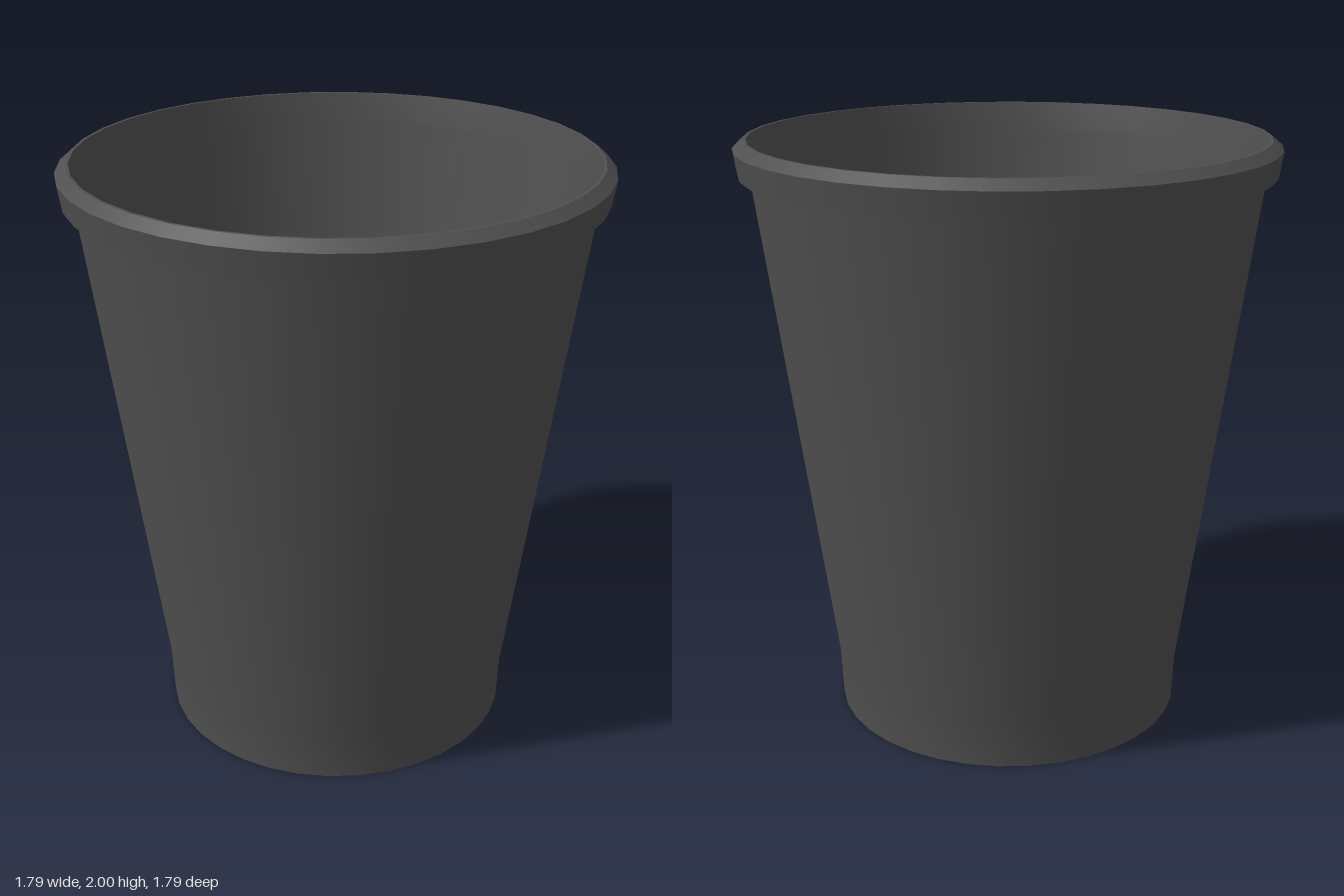
import * as THREE from 'three';

const SIDES = 36;

export function createModel() {
  const cup = new THREE.Group();
  cup.name = 'cup';

  const plastic = new THREE.MeshStandardMaterial({ color: 0x505050 });
  plastic.name = 'dark grey';

  // Revolves a profile of [radius, height] points; turned to put corners on the axes
  function revolve(name, profile) {
    const points = profile.map(([r, y]) => new THREE.Vector2(r, y));
    const mesh = new THREE.Mesh(new THREE.LatheGeometry(points, SIDES), plastic);
    mesh.name = name;
    cup.add(mesh);
  }

  // Flat disc facing up or down
  function disc(name, radius, y, facing) {
    const geometry = new THREE.CircleGeometry(radius, SIDES);
    geometry.rotateX(-facing * Math.PI / 2);
    const mesh = new THREE.Mesh(geometry, plastic);
    mesh.position.y = y;
    mesh.name = name;
    cup.add(mesh);
  }

  // Outside: short straight foot, then the flared wall
  revolve('outerWall', [[0.6, 0], [0.608, 0.17], [0.845, 1.885]]);

  // Rolled lip: each band is separate so its edges stay sharp
  revolve('lipUnderside', [[0.845, 1.885], [0.882, 1.885]]);
  revolve('lipBand', [[0.882, 1.885], [0.895, 1.97]]);
  revolve('lipBevel', [[0.895, 1.97], [0.86, 2]]);
  revolve('lipTop', [[0.86, 2], [0.85, 2]]);

  // Inside: runs downwards so that it faces the axis
  revolve('innerWall', [[0.85, 2], [0.832, 1.9], [0.59, 0.17], [0.58, 0.02]]);

  disc('floor', 0.58, 0.02, 1);
  disc('base', 0.6, 0, -1);

  return cup;
}
